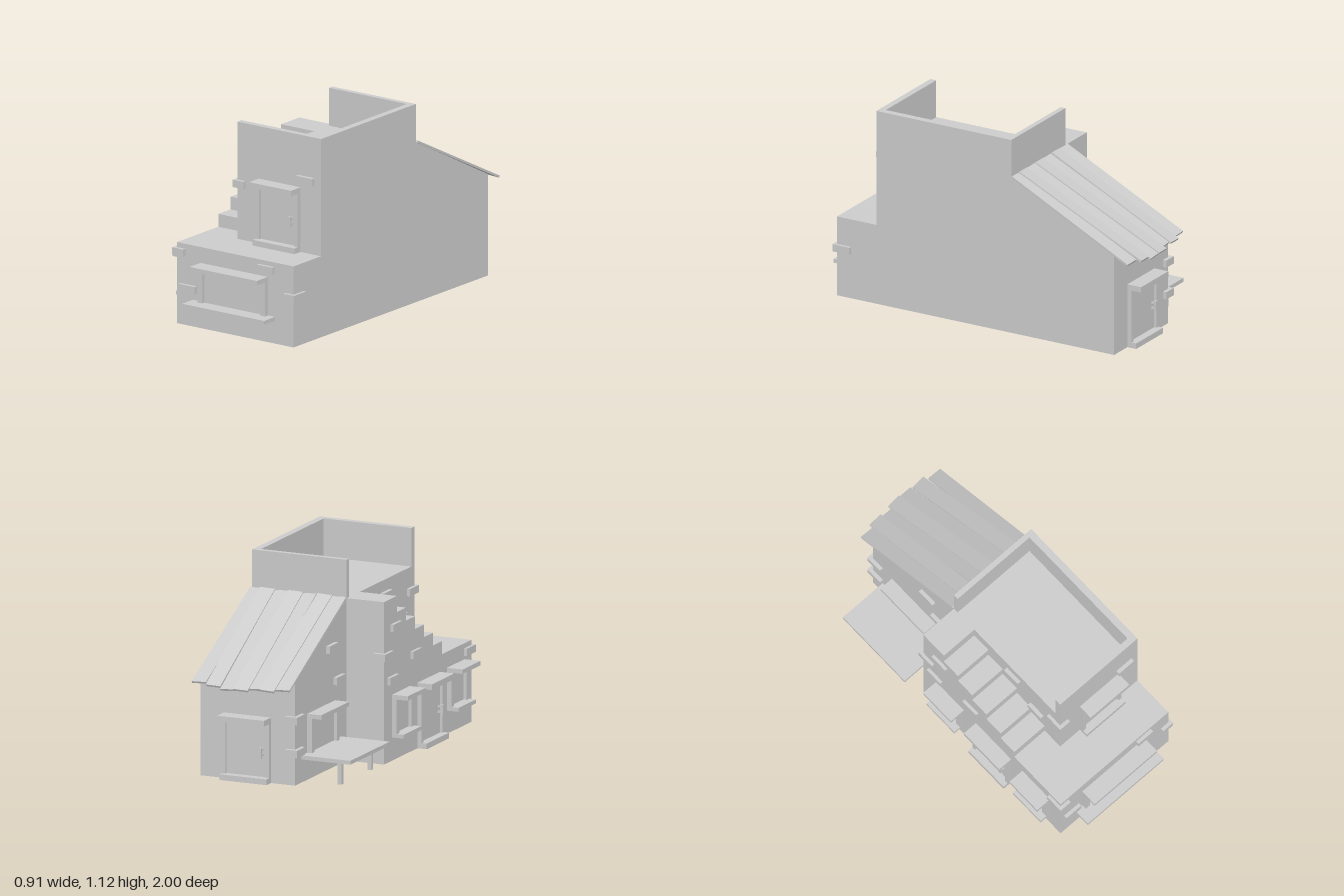
import * as THREE from 'three';

const material = new THREE.MeshStandardMaterial({ color: 0xcccccc, flatShading: true });

// Box given by its min and max corners
function box(parent, name, [x0, y0, z0], [x1, y1, z1]) {
  const mesh = new THREE.Mesh(new THREE.BoxGeometry(x1 - x0, y1 - y0, z1 - z0), material);
  mesh.position.set((x0 + x1) / 2, (y0 + y1) / 2, (z0 + z1) / 2);
  mesh.name = name;
  parent.add(mesh);
  return mesh;
}

// Side profile of [z, y] points, extruded from x0 to x1
function sideProfile(parent, name, points, x0, x1) {
  const shape = new THREE.Shape(points.map(([z, y]) => new THREE.Vector2(z, y)));
  const geometry = new THREE.ExtrudeGeometry(shape, { depth: x1 - x0, bevelEnabled: false });
  geometry.rotateY(-Math.PI / 2).translate(x1, 0, 0);
  const mesh = new THREE.Mesh(geometry, material);
  mesh.name = name;
  parent.add(mesh);
}

// Group whose local x runs along a wall and local z points out of it
function onWall(parent, name, x, y, z, turn) {
  const group = new THREE.Group();
  group.name = name;
  group.position.set(x, y, z);
  group.rotation.y = turn;
  parent.add(group);
  return group;
}

function addDoor(parent, name, x, y, z, turn) {
  const g = onWall(parent, name, x, y, z, turn), w = 0.1425;
  box(g, 'doorLintel', [-w, 0.335, -0.01], [w, 0.367, 0.088]);
  box(g, 'doorStep', [-w, 0, -0.01], [w, 0.032, 0.056]);
  for (const s of [-1, 1]) {
    const a = s * w, b = s * (w - 0.021);
    box(g, 'doorPost', [Math.min(a, b), 0.032, -0.01], [Math.max(a, b), 0.335, 0.026]);
  }
  box(g, 'doorPanel', [-0.1215, 0.032, -0.01], [0.1215, 0.317, 0.01]);
  box(g, 'doorHandle', [0.088, 0.14, 0.03], [0.102, 0.2, 0.044]);
  for (const hy of [0.15, 0.18]) box(g, 'handleMount', [0.09, hy, 0], [0.1, hy + 0.01, 0.035]);
}

// Window with a half width, sill half width, sill depth and lintel depth
function addWindow(parent, name, x, z, turn, w, sillW, sillDepth, lintelDepth) {
  const g = onWall(parent, name, x, 0, z, turn);
  box(g, 'windowLintel', [-w, 0.345, -0.01], [w, 0.37, lintelDepth]);
  box(g, 'windowSill', [-sillW, 0.13, -0.01], [sillW, 0.152, sillDepth]);
  for (const s of [-1, 1]) {
    const a = s * w, b = s * (w - 0.033);
    box(g, 'windowPost', [Math.min(a, b), 0.152, -0.01], [Math.max(a, b), 0.345, 0.028]);
  }
  box(g, 'windowPane', [-w + 0.033, 0.152, -0.01], [w - 0.033, 0.335, 0.008]);
  return g;
}

export function createModel() {
  const model = new THREE.Group();
  model.name = 'house';

  // Main body with the lower front terrace, tower and sloped rear room
  sideProfile(model, 'mainBody', [
    [0.895, 0], [0.895, 0.46], [0.645, 0.46], [0.645, 0.91],
    [-0.215, 0.91], [-0.87, 0.575], [-0.87, 0],
  ], -0.135, 0.435);

  // Side wing with stairs climbing to the tower floor
  const stairs = [[0.895, 0], [0.895, 0.46]];
  const edges = [0.52, 0.41, 0.295, 0.18, 0.065, -0.05];
  const heights = [0.46, 0.533, 0.605, 0.675, 0.747, 0.82, 0.91];
  edges.forEach((z, i) => stairs.push([z, heights[i]], [z, heights[i + 1]]));
  stairs.push([-0.215, 0.91], [-0.215, 0]);
  sideProfile(model, 'stairWing', stairs, -0.36, -0.135);

  // Parapet on three sides of the tower
  box(model, 'frontParapet', [-0.135, 0.91, 0.608], [0.435, 1.125, 0.645]);
  box(model, 'backParapet', [-0.135, 0.91, -0.215], [0.435, 1.125, -0.185]);
  box(model, 'sideParapet', [0.395, 0.91, -0.185], [0.435, 1.125, 0.608]);

  // Uneven roof planks: [ridge x, eave x, length, lift]
  const roof = new THREE.Group();
  roof.name = 'plankRoof';
  roof.position.set(0, 0.908, -0.215);
  roof.rotation.x = -Math.atan(0.5);
  model.add(roof);
  const planks = [
    [-0.095, -0.1, 0.82, 0.003], [-0.01, -0.015, 0.845, 0.009], [0.085, 0.06, 0.835, 0.003],
    [0.165, 0.135, 0.862, 0.009], [0.25, 0.215, 0.862, 0.003], [0.335, 0.305, 0.85, 0.009],
    [0.4, 0.402, 0.825, 0.003],
  ];
  planks.forEach(([ridge, eave, length, lift], i) => {
    const plank = box(roof, 'roofPlank', [-0.043, 0, -length / 2], [0.043, 0.012, length / 2]);
    plank.position.set((ridge + eave) / 2, lift + 0.005, -length / 2 - 0.006);
    plank.rotation.y = Math.atan2(ridge - eave, length);
    plank.rotation.z = i % 2 ? 0.06 : -0.05;
  });

  // Doors on the tower front, the side wing and the rear
  addDoor(model, 'towerDoor', 0.1525, 0.46, 0.645, 0);
  addDoor(model, 'sideDoor', -0.36, 0, 0.3525, -Math.PI / 2);
  addDoor(model, 'backDoor', 0.1525, 0, -0.87, Math.PI);

  // Windows; the rear one has a wide counter on two legs
  addWindow(model, 'frontWindow', 0.03, 0.895, 0, 0.23, 0.28, 0.1, 0.1);
  for (const z of [0, 0.698]) addWindow(model, 'sideWindow', -0.36, z, -Math.PI / 2, 0.112, 0.112, 0.07, 0.095);
  const counter = addWindow(model, 'counterWindow', -0.135, -0.54, -Math.PI / 2, 0.177, 0.25, 0.295, 0.085);
  for (const x of [-0.188, 0.188]) box(counter, 'counterLeg', [x - 0.012, 0, 0.195], [x + 0.012, 0.13, 0.219]);

  // Protruding bricks: min x, min y, min z, max x, max z
  const bricks = [
    [0.28, 0.853, 0.63, 0.39, 0.667], [0.197, 0.392, 0.88, 0.305, 0.915],
    [-0.335, 0.19, 0.88, -0.225, 0.915], [-0.378, 0.39, 0.805, -0.303, 0.915],
    [0.38, 0.258, 0.805, 0.452, 0.915], [-0.153, 0.755, 0.555, -0.08, 0.665],
    [-0.157, 0.803, 0.215, -0.12, 0.325], [-0.157, 0.635, 0.405, -0.12, 0.512],
    [-0.378, 0.725, -0.13, -0.34, -0.02], [-0.378, 0.52, 0.12, -0.34, 0.23],
    [-0.378, 0.58, -0.237, -0.305, -0.127], [-0.378, 0.435, -0.17, -0.34, -0.06],
    [-0.157, 0.655, -0.475, -0.12, -0.365], [-0.157, 0.46, -0.385, -0.12, -0.275],
    [-0.157, 0.345, -0.892, -0.08, -0.79], [-0.157, 0.16, -0.892, -0.08, -0.79],
  ];
  for (const [x0, y, z0, x1, z1] of bricks) box(model, 'brick', [x0, y, z0], [x1, y + 0.042, z1]);

  return model;
}
